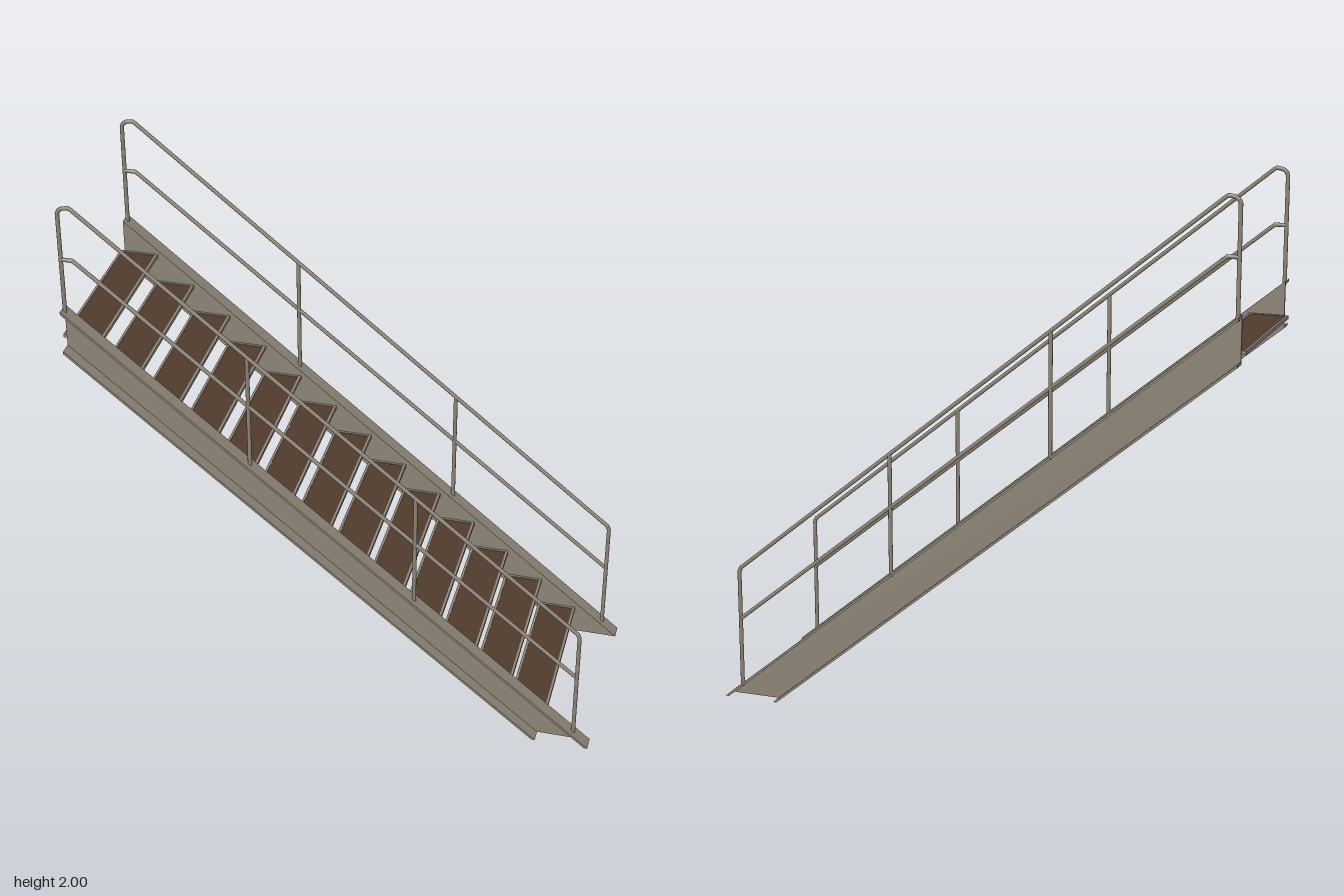
import * as THREE from 'three';

export function createModel() {
  const model = new THREE.Group();
  model.name = 'staircase';

  const steel = new THREE.MeshStandardMaterial({ color: 0x8c8376 });
  steel.name = 'warm grey steel';
  const brown = new THREE.MeshStandardMaterial({ color: 0x503a2d });
  brown.name = 'brown tread';

  const add = (parent, name, geometry, material, x = 0, y = 0, z = 0) => {
    const mesh = new THREE.Mesh(geometry, material);
    mesh.name = name;
    mesh.position.set(x, y, z);
    parent.add(mesh);
    return mesh;
  };

  // Outline in the xy plane, extruded from z0 to z1
  const plate = (parent, name, points, z0, z1) => {
    const shape = new THREE.Shape(points.map(([x, y]) => new THREE.Vector2(x, y)));
    const geometry = new THREE.ExtrudeGeometry(shape, { depth: z1 - z0, bevelEnabled: false });
    add(parent, name, geometry, steel, 0, 0, z0);
  };

  // Round bar through a list of xy points, with rounded joints
  const R = 0.0075;
  const bar = (parent, name, points, z) => {
    const group = new THREE.Group();
    group.name = name;
    parent.add(group);
    const pts = points.map(([x, y]) => new THREE.Vector3(x, y, z));
    pts.forEach((p, i) => {
      add(group, name + 'Joint', new THREE.SphereGeometry(R, 10, 6), steel, p.x, p.y, p.z);
      if (i === 0) return;
      const dir = p.clone().sub(pts[i - 1]);
      const mid = p.clone().add(pts[i - 1]).multiplyScalar(0.5);
      const rod = add(group, name + 'Bar', new THREE.CylinderGeometry(R, R, dir.length(), 10), steel, mid.x, mid.y, mid.z);
      rod.quaternion.setFromUnitVectors(new THREE.Vector3(0, 1, 0), dir.normalize());
    });
  };

  // Stringers: channels with the flanges turned outward
  const slope = 0.82, topX = -0.965, topFoot = 0.975, lowFoot = 0.765, flange = 0.011;
  const topLine = (x) => slope * (topFoot - x);
  const lowLine = (x) => slope * (lowFoot - x);
  const inner = 0.309, outer = 0.364, web = 0.008;
  const postXs = [-0.3, 0.305, 0.915];
  const railY = (x) => 1.242 - 0.811 * x;

  for (const side of [1, -1]) {
    const group = new THREE.Group();
    group.name = side > 0 ? 'leftSide' : 'rightSide';
    model.add(group);
    const span = (a, b) => (side > 0 ? [a, b] : [-b, -a]);

    plate(group, 'stringerWeb', [
      [topX, lowLine(topX)], [lowFoot, 0], [topFoot, 0], [topX, topLine(topX)],
    ], ...span(inner, inner + web));
    const d = flange / slope;
    plate(group, 'topFlange', [
      [topX, topLine(topX) - flange], [topFoot - d, 0], [topFoot, 0], [topX, topLine(topX)],
    ], ...span(inner + web, outer));
    plate(group, 'bottomFlange', [
      [topX, lowLine(topX)], [lowFoot, 0], [lowFoot + d, 0], [topX, lowLine(topX) + flange],
    ], ...span(inner + web, outer));

    // Handrail, middle rail and posts
    const z = side * 0.337;
    bar(group, 'handrail', [
      [-0.956, topLine(-0.956) - 0.005], [-0.956, 1.968], [-0.95, 1.98], [-0.938, 1.988],
      [-0.915, 1.992], [-0.905, railY(-0.905) + 0.01], [0.908, railY(0.908)],
      [0.915, 0.49], [0.915, topLine(0.915) - 0.005],
    ], z);
    bar(group, 'middleRail', [
      [-0.956, 1.788], [-0.915, 1.788], [-0.9, railY(-0.9) - 0.195], [0.915, railY(0.915) - 0.195],
    ], z);
    for (const x of postXs.slice(0, 2)) {
      bar(group, 'post', [[x, topLine(x) - 0.005], [x, railY(x)]], z);
    }
  }

  // Treads: a steel frame around a slightly recessed brown panel
  const count = 13, depth = 0.145, width = 0.618, rim = 0.009, thick = 0.013;
  for (let i = 0; i < count; i++) {
    const tread = new THREE.Group();
    tread.name = 'tread';
    tread.position.set(0.737 - i * 0.1371, 0.107 + i * 0.1128, 0);
    model.add(tread);
    for (const s of [1, -1]) {
      add(tread, 'treadLongEdge', new THREE.BoxGeometry(rim, thick, width), steel, s * (depth - rim) / 2);
      add(tread, 'treadEnd', new THREE.BoxGeometry(depth - 2 * rim, thick, rim), steel, 0, 0, s * (width - rim) / 2);
    }
    add(tread, 'treadPanel', new THREE.BoxGeometry(depth - 2 * rim, thick - 0.004, width - 2 * rim), brown);
  }

  return model;
}
